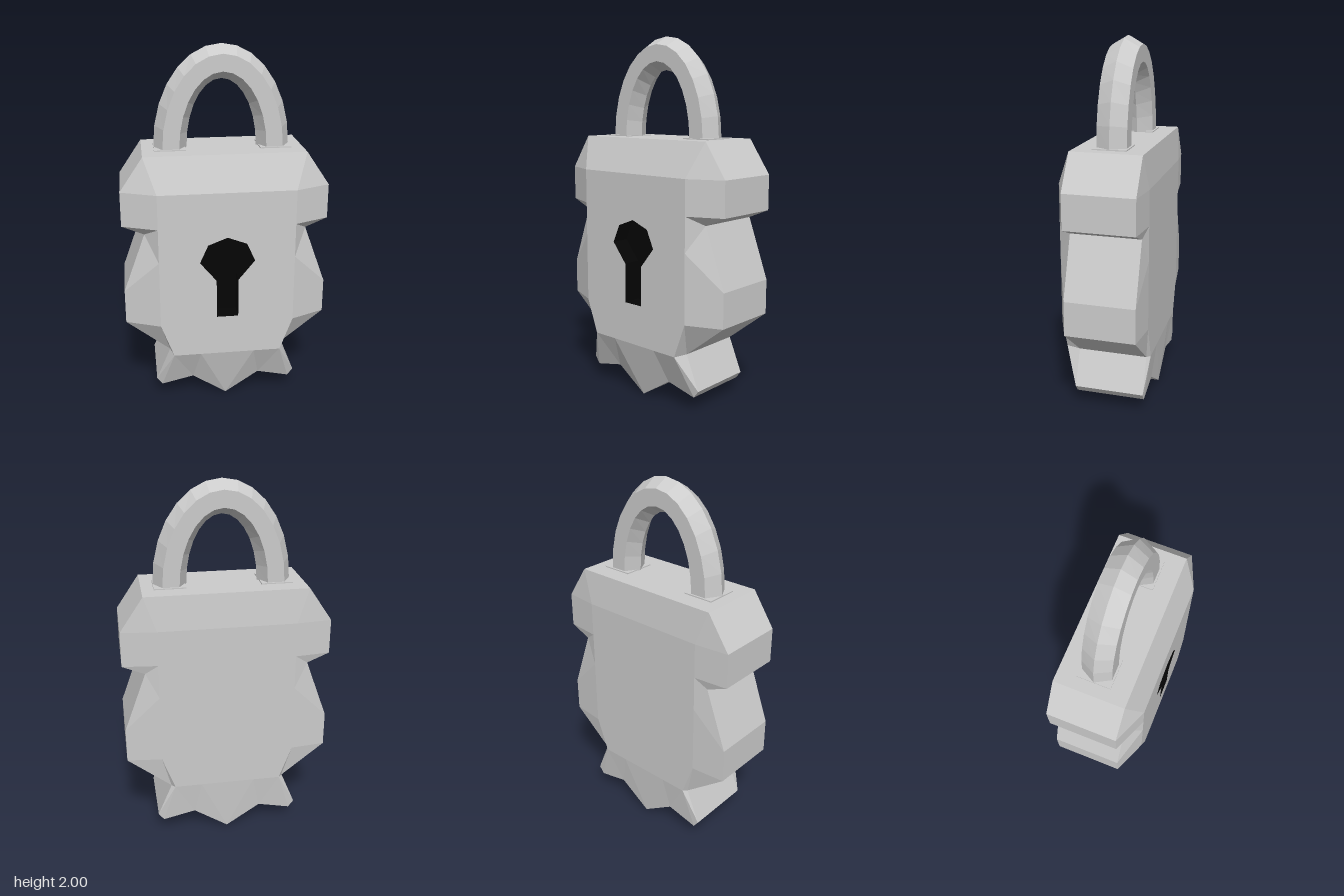
import * as THREE from 'three';

const grey = new THREE.MeshStandardMaterial({ color: 0xcccccc, flatShading: true });
const black = new THREE.MeshStandardMaterial({ color: 0x050505, flatShading: true, side: THREE.DoubleSide });

// Right half of the body, bottom to top: [outline x, y, flat panel x, y]
const PROFILE = [
  [0, 0.005, 0, 0.32], [0.19, 0.13, 0.15, 0.32], [0.37, 0.09, 0.3, 0.32],
  [0.4, 0.13, 0.3, 0.32], [0.32, 0.32, 0.3, 0.32], [0.56, 0.51, 0.37, 0.51],
  [0.56, 0.7, 0.37, 0.7], [0.44, 1.03, 0.37, 0.89], [0.56, 1.08, 0.37, 1.08],
  [0.56, 1.27, 0.37, 1.27], [0.435, 1.455, 0.37, 1.27], [0, 1.455, 0, 1.27],
];
const FRONT = { rim: 0.16, panel: 0.24 };
const BACK = { rim: -0.22, panel: -0.24 };

// Keyhole outline, counter-clockwise
const KEYHOLE = [
  [-0.06, 0.55], [0.06, 0.55], [0.06, 0.77], [0.15, 0.88], [0.105, 0.98],
  [0, 1.02], [-0.105, 0.98], [-0.15, 0.88], [-0.06, 0.77],
].map(([x, y]) => new THREE.Vector2(x, y));

function geometryFrom(positions) {
  const g = new THREE.BufferGeometry();
  g.setAttribute('position', new THREE.Float32BufferAttribute(positions, 3));
  g.computeVertexNormals();
  return g;
}

function named(name, geometry, material = grey) {
  const mesh = new THREE.Mesh(geometry, material);
  mesh.name = name;
  return mesh;
}

// Side walls plus the bevels running from the outline to the flat panels
function bodyShell() {
  const out = [];
  const quad = (a, b, c, d, flip) => {
    for (const t of [[a, b, c], [a, c, d]]) out.push(...(flip ? t.reverse() : t).flat());
  };
  for (const s of [1, -1]) {
    for (let i = 0; i < PROFILE.length - 1; i++) {
      const [ax, ay, px, py] = PROFILE[i];
      const [bx, by, qx, qy] = PROFILE[i + 1];
      for (const side of [FRONT, BACK]) {
        quad([s * ax, ay, side.rim], [s * bx, by, side.rim],
          [s * qx, qy, side.panel], [s * px, py, side.panel], (s < 0) !== (side === BACK));
      }
      quad([s * ax, ay, BACK.rim], [s * bx, by, BACK.rim],
        [s * bx, by, FRONT.rim], [s * ax, ay, FRONT.rim], s < 0);
    }
  }
  return geometryFrom(out);
}

function panelShape() {
  const half = PROFILE.map(p => [p[2], p[3]])
    .filter((p, i, a) => !i || p[0] !== a[i - 1][0] || p[1] !== a[i - 1][1]);
  const left = half.slice(1, -1).reverse().map(([x, y]) => [-x, y]);
  return new THREE.Shape([...half, ...left].map(([x, y]) => new THREE.Vector2(x, y)));
}

// Hexagonal section swept along a half ellipse
function shackleGeometry(segments = 14) {
  const section = [[0.09, 0], [0.045, 0.08], [-0.045, 0.08], [-0.09, 0], [-0.045, -0.08], [0.045, -0.08]];
  const point = (i, k) => {
    const [r, z] = section[k % 6];
    const a = Math.PI * i / segments;
    return [(0.28 + r) * Math.cos(a), 1.455 + (0.455 + r) * Math.sin(a), z - 0.03];
  };
  const out = [];
  for (let i = 0; i < segments; i++) {
    for (let k = 0; k < 6; k++) {
      const a = point(i, k), b = point(i + 1, k), c = point(i + 1, k + 1), d = point(i, k + 1);
      out.push(...a, ...b, ...c, ...a, ...c, ...d);
    }
  }
  return geometryFrom(out);
}

export function createModel() {
  const model = new THREE.Group();
  model.name = 'padlock';

  // Body
  const body = new THREE.Group();
  body.name = 'body';
  body.add(named('bodyShell', bodyShell()));
  const frontShape = panelShape();
  frontShape.holes.push(new THREE.Path(KEYHOLE));
  const front = named('frontPanel', new THREE.ShapeGeometry(frontShape));
  front.position.z = FRONT.panel;
  const back = named('backPanel', new THREE.ShapeGeometry(panelShape()));
  back.rotation.y = Math.PI;
  back.position.z = BACK.panel;
  body.add(front, back);
  model.add(body);

  // Keyhole recess: floor and walls
  const depth = 0.1;
  const keyhole = new THREE.Group();
  keyhole.name = 'keyhole';
  const floor = named('keyholeFloor', new THREE.ShapeGeometry(new THREE.Shape(KEYHOLE)), black);
  floor.position.z = FRONT.panel - depth;
  const walls = [];
  KEYHOLE.forEach((p, i) => {
    const q = KEYHOLE[(i + 1) % KEYHOLE.length];
    const z0 = FRONT.panel - depth, z1 = FRONT.panel;
    walls.push(p.x, p.y, z1, q.x, q.y, z1, q.x, q.y, z0, p.x, p.y, z1, q.x, q.y, z0, p.x, p.y, z0);
  });
  keyhole.add(floor, named('keyholeWalls', geometryFrom(walls), black));
  model.add(keyhole);

  // Shackle with a thin lip around each foot
  model.add(named('shackle', shackleGeometry()));
  for (const s of [1, -1]) {
    const lip = named(s > 0 ? 'leftShackleLip' : 'rightShackleLip', new THREE.BoxGeometry(0.17, 0.008, 0.18));
    lip.position.set(s * 0.285, 1.457, -0.03);
    model.add(lip);
  }
  return model;
}
